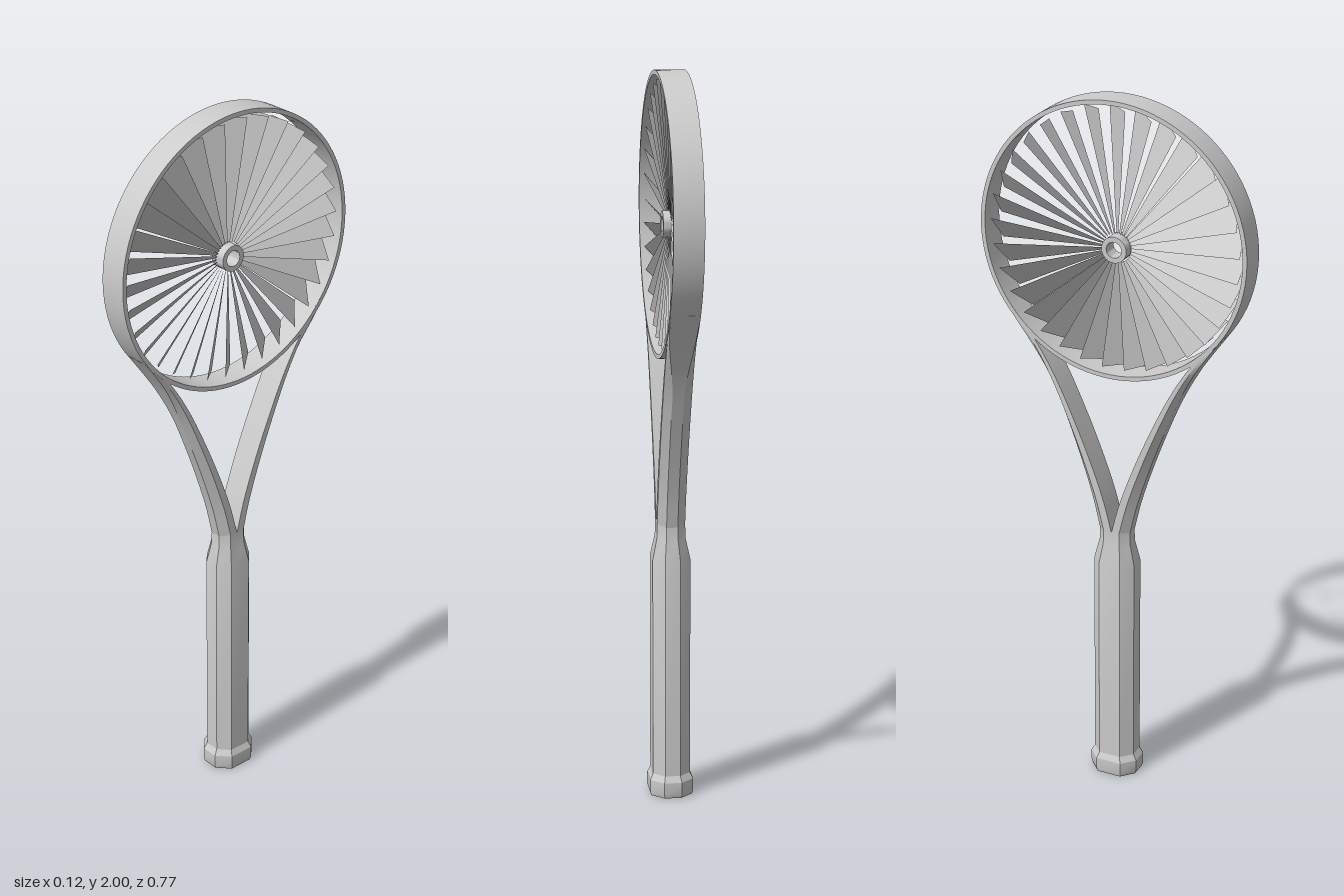
import * as THREE from 'three';
import { toCreasedNormals } from 'three/addons/utils/BufferGeometryUtils.js';

const grey = new THREE.MeshStandardMaterial({ color: 0xcccccc });
const greyThin = new THREE.MeshStandardMaterial({ color: 0xcccccc, side: THREE.DoubleSide });

const HEAD_Y = 1.617, HUB_Y = 1.593;

function add(group, name, geometry, material = grey) {
  const mesh = new THREE.Mesh(geometry, material);
  mesh.name = name;
  group.add(mesh);
  return mesh;
}

// Skin a row of equal-count cross-sections and close both ends.
function loft(sections) {
  const n = sections[0].length, last = (sections.length - 1) * n;
  const index = [];
  for (let i = 0; i < sections.length - 1; i++) {
    for (let j = 0; j < n; j++) {
      const a = i * n + j, b = i * n + (j + 1) % n;
      index.push(a, b, b + n, a, b + n, a + n);
    }
  }
  for (let j = 1; j < n - 1; j++) {
    index.push(0, j + 1, j, last, last + j, last + j + 1);
  }
  const geo = new THREE.BufferGeometry().setFromPoints(sections.flat());
  geo.setIndex(index);
  return toCreasedNormals(geo, 0.4);
}

// Rectangular-section ring whose axis runs along x.
function band(inner, outer, halfWidth, segments) {
  const profile = [[inner, -halfWidth], [outer, -halfWidth], [outer, halfWidth], [inner, halfWidth], [inner, -halfWidth]]
    .map(([r, h]) => new THREE.Vector2(r, h));
  return toCreasedNormals(new THREE.LatheGeometry(profile, segments).rotateZ(Math.PI / 2), 0.5);
}

// Octagonal grip with flared, recessed butt and tapered neck.
function handleGeometry() {
  const octagon = [[-0.021, 0.061], [0.021, 0.061], [0.052, 0.032], [0.052, -0.032],
    [0.021, -0.061], [-0.021, -0.061], [-0.052, -0.032], [-0.052, 0.032]];
  const levels = [[0.015, 0.8], [0, 0.86], [0, 1.1], [0.01, 1.16], [0.045, 1.16],
    [0.062, 1], [0.675, 1], [0.735, 0.76], [0.775, 0.74]];
  return loft(levels.map(([y, s]) => octagon.map(([x, z]) => new THREE.Vector3(x * s, y, z * s))));
}

// Curved throat arm: flat inside, chamfered outside, blending into the rim.
function armGeometry(side) {
  const path = new THREE.CatmullRomCurve3(
    [[0.0225, 0.77], [0.045, 0.86], [0.082, 0.97], [0.125, 1.08], [0.178, 1.2],
      [0.225, 1.285], [0.273, 1.353], [0.305, 1.395]].map(([z, y]) => new THREE.Vector3(0, y, z)));
  const sections = [], steps = 32;
  for (let i = 0; i <= steps; i++) {
    const u = i / steps;
    const p = path.getPointAt(u), t = path.getTangentAt(u);
    const h = THREE.MathUtils.lerp(0.0225, 0.006, Math.pow(u, 1.3));
    const w = 0.0385;
    const f = THREE.MathUtils.lerp(0.0155, w - 0.001, THREE.MathUtils.smoothstep(p.y, 1.15, 1.37));
    const section = [[-f, h], [f, h], [w, 0], [w, -h], [-w, -h], [-w, 0]]
      .map(([x, o]) => new THREE.Vector3(x, p.y - t.z * o, side * (p.z + t.y * o)));
    sections.push(side > 0 ? section : section.reverse());
  }
  return loft(sections);
}

// One pitched fan blade reaching from the hub to a circle inside the rim.
function bladeGeometry(angle, delta) {
  const tipRadius = 0.359, root = 0.04, pitch = 0.85, lift = HEAD_Y - HUB_Y;
  const corner = (sign, atTip) => {
    const a = angle + sign * delta;
    const reach = lift * Math.sin(a) + Math.sqrt(tipRadius ** 2 - (lift * Math.cos(a)) ** 2);
    const r = atTip ? reach : root;
    return new THREE.Vector3(-sign * pitch * r * delta, HUB_Y + r * Math.sin(a), -r * Math.cos(a));
  };
  const geo = new THREE.BufferGeometry().setFromPoints(
    [corner(-1, false), corner(-1, true), corner(1, true), corner(1, false)]);
  geo.setIndex([0, 1, 2, 0, 2, 3]);
  geo.computeVertexNormals();
  return geo;
}

export function createModel() {
  const model = new THREE.Group();
  model.name = 'fanRacket';

  add(model, 'handle', handleGeometry());
  add(model, 'leftArm', armGeometry(1));
  add(model, 'rightArm', armGeometry(-1));
  add(model, 'rim', band(0.371, 0.383, 0.04, 96)).position.y = HEAD_Y;
  add(model, 'hub', band(0.022, 0.036, 0.022, 32)).position.y = HUB_Y;

  // Fan blades around the hub
  const fan = new THREE.Group();
  fan.name = 'fanBlades';
  const count = 32;
  for (let i = 0; i < count; i++) {
    add(fan, 'blade', bladeGeometry((i / count) * Math.PI * 2, Math.PI / count), greyThin);
  }
  model.add(fan);
  return model;
}
